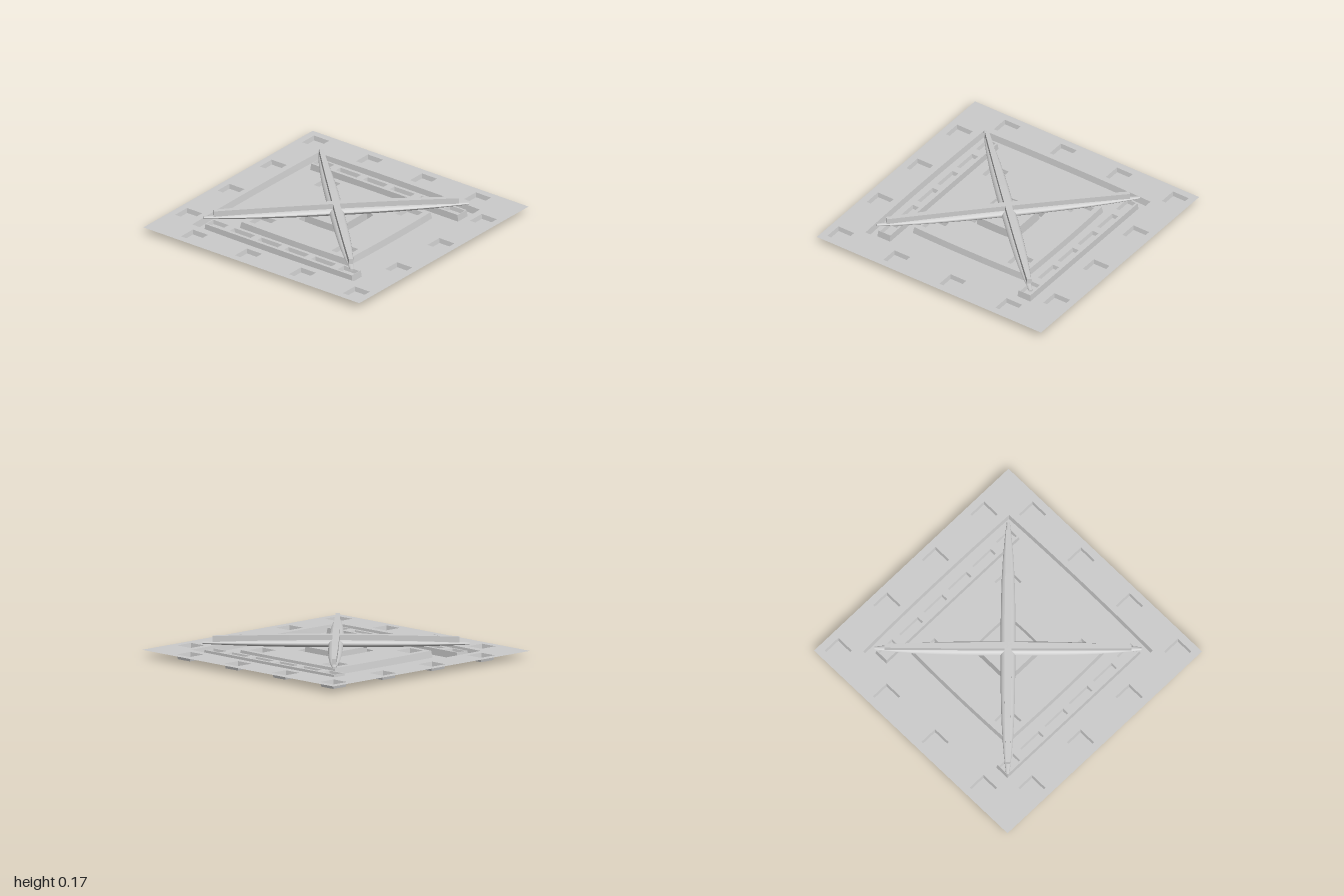
import * as THREE from 'three';

const material = new THREE.MeshStandardMaterial({ color: 0xcccccc, side: THREE.DoubleSide, flatShading: true });
const smooth = new THREE.MeshStandardMaterial({ color: 0xcccccc });

// Rectangle outline in (x, -z); each side may bow outward slightly
function rect(cx, cz, hx, hz, bow = 0) {
  const corners = [[-1, -1], [1, -1], [1, 1], [-1, 1]];
  const n = bow ? 8 : 1, pts = [];
  corners.forEach(([ax, ay], i) => {
    const [bx, by] = corners[(i + 1) % 4];
    for (let k = 0; k < n; k++) {
      const t = k / n, b = bow * 4 * t * (1 - t);
      const x = ax + (bx - ax) * t, y = ay + (by - ay) * t;
      const nx = ax === bx ? ax : 0, ny = ay === by ? ay : 0;
      pts.push(new THREE.Vector2(cx + x * hx + nx * b, -cz + y * hz + ny * b));
    }
  });
  return pts;
}

export function createModel() {
  const group = new THREE.Group();
  const add = (name, geometry, mat = material) => {
    const mesh = new THREE.Mesh(geometry, mat);
    mesh.name = name;
    group.add(mesh);
    return mesh;
  };

  // Horizontal sheet at height y, with holes
  function sheet(name, y, outline, holes = []) {
    const shape = new THREE.Shape(outline);
    shape.holes = holes.map((h) => new THREE.Path(h));
    add(name, new THREE.ShapeGeometry(shape).rotateX(-Math.PI / 2).translate(0, y, 0));
  }

  // Sloping wall joining two matching outlines
  function wall(name, a, ya, b, yb) {
    const pos = [], index = [], n = a.length;
    for (let i = 0; i < n; i++) {
      pos.push(a[i].x, ya, -a[i].y, b[i].x, yb, -b[i].y);
      const p = 2 * i, q = 2 * ((i + 1) % n);
      index.push(p, q, p + 1, q, q + 1, p + 1);
    }
    const g = new THREE.BufferGeometry();
    g.setAttribute('position', new THREE.Float32BufferAttribute(pos, 3));
    g.setIndex(index);
    g.computeVertexNormals();
    add(name, g);
  }

  // Closed pit; returns its rim so the sheet around it can be cut
  function pit(name, cx, cz, hx, hz, top, bottom) {
    const rim = rect(cx, cz, hx, hz);
    const base = rect(cx, cz, hx - 0.007, hz - 0.007);
    wall(name + 'Wall', rim, top, base, bottom);
    sheet(name + 'Floor', bottom, base);
    return rim;
  }

  const TOP = 0.05, FLOOR = 0;

  // Outer plate with pits spaced around the border
  const poolRim = rect(0, 0, 0.75, 0.742, 0.01), poolBase = rect(0, 0, 0.74, 0.735, 0.01);
  const plateHoles = [poolRim];
  for (let i = 0; i < 4; i++) {
    const a = -0.875 + 0.5 * i;
    const spots = [[a, -0.875], [-a, 0.875]];
    if (i > 0) spots.push([-0.875, a], [0.875, -a]);
    for (const [x, z] of spots) plateHoles.push(pit('borderPit', x, z, 0.07, 0.07, TOP, 0.015));
  }
  sheet('plate', TOP, rect(0, 0, 1, 1), plateHoles);
  wall('basinWall', poolRim, TOP, poolBase, FLOOR);

  // Raised bars along the front and back of the basin
  const floorHoles = [];
  for (const z of [-0.625, 0.625]) {
    const foot = rect(0, z, 0.685, 0.057), top = rect(0, z, 0.678, 0.053);
    const slots = [];
    for (let i = 0; i < 6; i++) {
      const end = i === 0 || i === 5;
      const x = end ? Math.sign(i - 2) * 0.605 : -0.625 + 0.25 * i;
      slots.push(pit('slot', x, z, end ? 0.07 : 0.095, end ? 0.038 : 0.027, TOP, 0.02));
    }
    wall('barWall', foot, FLOOR, top, TOP);
    sheet('barTop', TOP, top, slots);
    floorHoles.push(foot);
  }

  // Basin floor and raised inner platform
  const platFoot = rect(0, 0, 0.503, 0.495, 0.008), platTop = rect(0, 0, 0.493, 0.488, 0.008);
  sheet('basinFloor', FLOOR, poolBase, [platFoot, ...floorHoles]);
  wall('platformWall', platFoot, FLOOR, platTop, TOP);
  const moatRim = rect(0, 0, 0.195, 0.195, 0.008), moatBase = rect(0, 0, 0.19, 0.19, 0.008);
  const platformHoles = [moatRim];
  for (const x of [-0.38, 0.38]) {
    for (const z of [-0.38, 0.38]) platformHoles.push(pit('platformPit', x, z, 0.07, 0.07, TOP, 0.015));
  }
  sheet('platform', TOP, platTop, platformHoles);

  // Moat and the central block inside it
  const blockFoot = rect(0, 0, 0.165, 0.165), blockTop = rect(0, 0, 0.158, 0.158);
  wall('moatWall', moatRim, TOP, moatBase, FLOOR);
  sheet('moatFloor', FLOOR, moatBase, [blockFoot]);
  wall('blockWall', blockFoot, FLOOR, blockTop, 0.078);
  sheet('blockTop', 0.078, blockTop);

  // Two crossed tapering beams, each with a low fin along its top
  for (const angle of [Math.PI / 4, -Math.PI / 4]) {
    const half = 0.975;
    const tube = new THREE.CylinderGeometry(1, 1, 2 * half, 16, 24).rotateZ(Math.PI / 2);
    const p = tube.attributes.position;
    for (let i = 0; i < p.count; i++) {
      const t = Math.abs(p.getX(i)) / half;
      p.setY(i, 0.104 + p.getY(i) * (0.008 + 0.022 * (1 - t * t)));
      p.setZ(i, p.getZ(i) * (0.012 + 0.042 * (1 - t ** 3)));
    }
    tube.computeVertexNormals();
    add('beam', tube, smooth).rotation.y = angle;

    const fin = new THREE.BoxGeometry(1.8, 1, 1, 16, 1, 1);
    const f = fin.attributes.position;
    for (let i = 0; i < f.count; i++) {
      const t = Math.abs(f.getX(i)) / 0.9;
      f.setY(i, f.getY(i) > 0 ? 0.17 - 0.014 * t * t : 0.108);
      f.setZ(i, f.getZ(i) * (0.05 - 0.02 * t * t));
    }
    fin.computeVertexNormals();
    add('beamFin', fin, material).rotation.y = angle;
  }

  return group;
}
